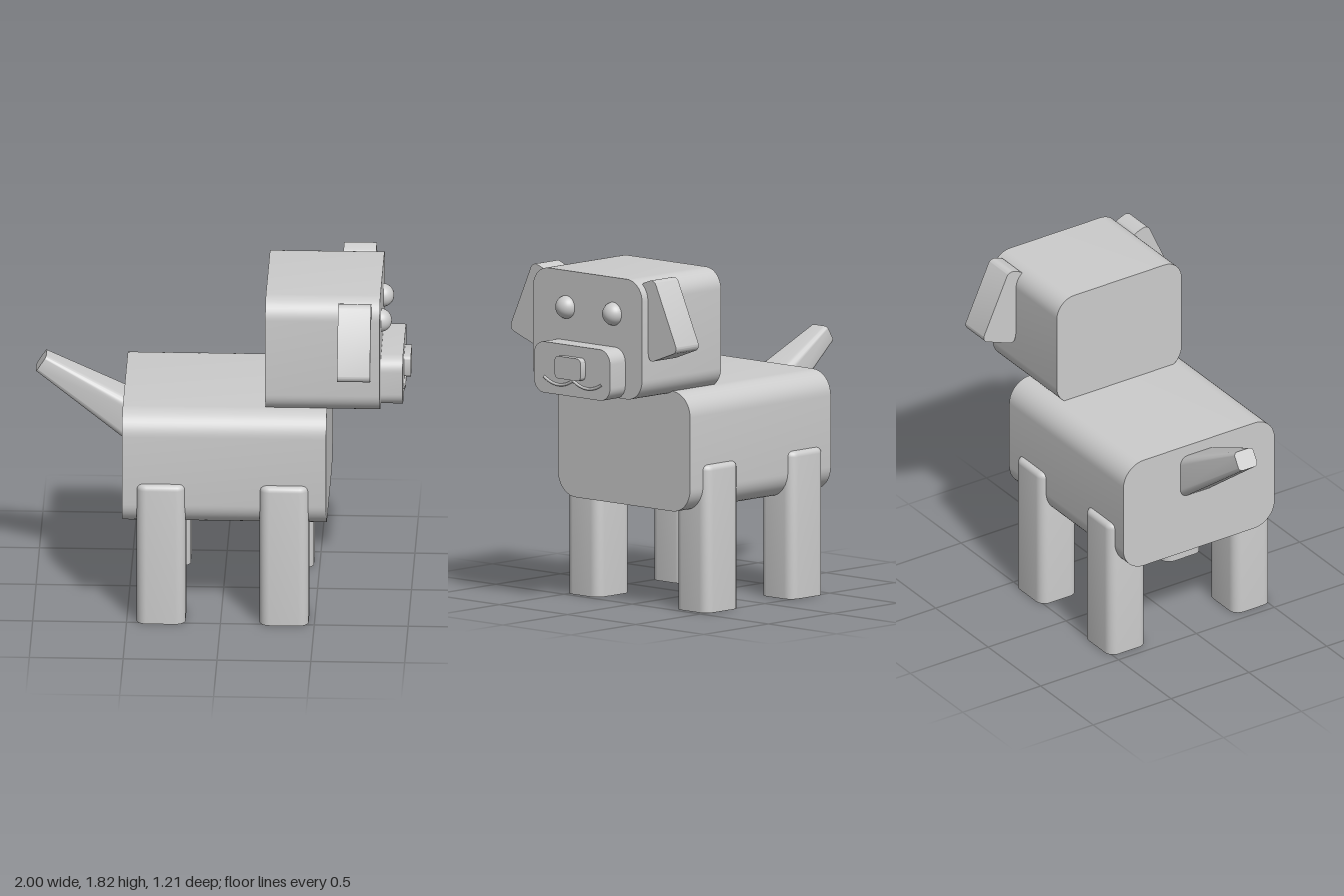
import * as THREE from 'three';
import { toCreasedNormals } from 'three/addons/utils/BufferGeometryUtils.js';

const material = new THREE.MeshStandardMaterial({ color: 0xcccccc });

// Polygon outline whose corners are rounded off over distance r
function roundedShape(points, r) {
  const pts = points.map(([x, y]) => new THREE.Vector2(x, y));
  const shape = new THREE.Shape();
  pts.forEach((p, i) => {
    const toward = (q) => q.clone().sub(p).setLength(r).add(p);
    const a = toward(pts[(i + pts.length - 1) % pts.length]);
    const b = toward(pts[(i + 1) % pts.length]);
    const c1 = a.clone().lerp(p, 0.5523);
    const c2 = b.clone().lerp(p, 0.5523);
    if (i === 0) shape.moveTo(a.x, a.y);
    else shape.lineTo(a.x, a.y);
    shape.bezierCurveTo(c1.x, c1.y, c2.x, c2.y, b.x, b.y);
  });
  shape.closePath();
  return shape;
}

const rect = (x0, x1, y0, y1) => [[x0, y0], [x1, y0], [x1, y1], [x0, y1]];

// Smooth rounded sides, sharp end caps
const crease = (geometry) => toCreasedNormals(geometry, 0.6);

// Block with a rounded (z, y) outline, running from x0 to x1
function blockAlongX(outline, r, x0, x1) {
  const shape = roundedShape(outline.map(([z, y]) => [-z, y]), r);
  const geo = new THREE.ExtrudeGeometry(shape, { depth: x1 - x0, bevelEnabled: false, curveSegments: 10 });
  geo.rotateY(Math.PI / 2).translate(x0, 0, 0);
  return crease(geo);
}

// Upright leg: rounded corners and top edge, flat foot
function legGeometry(width, height, depth) {
  const b = 0.03;
  const w = width / 2 - b, d = depth / 2 - b;
  const geo = new THREE.ExtrudeGeometry(roundedShape(rect(-w, w, -d, d), 0.025), {
    depth: height - b, bevelThickness: b, bevelSize: b, bevelSegments: 5, curveSegments: 6,
  });
  geo.rotateX(-Math.PI / 2);
  const pos = geo.attributes.position;
  for (let i = 0; i < pos.count; i++) pos.setY(i, Math.max(0, pos.getY(i)));
  return crease(geo);
}

// Tapered tail: a unit rounded square lofted from the rump to the raised tip
function tailGeometry() {
  const geo = new THREE.ExtrudeGeometry(roundedShape(rect(-1, 1, -1, 1), 0.4), {
    depth: 1, bevelEnabled: false, curveSegments: 8,
  });
  const pos = geo.attributes.position;
  const mix = THREE.MathUtils.lerp;
  for (let i = 0; i < pos.count; i++) {
    const u = pos.getX(i), v = pos.getY(i), t = pos.getZ(i);
    pos.setXYZ(i,
      mix(-0.5, -0.972 + 0.028 * v, t),
      mix(0.992 + 0.126 * v, 1.297 + 0.044 * v, t),
      u * mix(0.123, 0.06, t));
  }
  return crease(geo);
}

export function createModel() {
  const dog = new THREE.Group();
  dog.name = 'dog';
  const add = (name, geometry, x = 0, y = 0, z = 0) => {
    const mesh = new THREE.Mesh(geometry, material);
    mesh.name = name;
    mesh.position.set(x, y, z);
    dog.add(mesh);
  };

  // Body, head and face blocks
  add('body', blockAlongX(rect(-0.485, 0.485, 0.545, 1.192), 0.13, -0.525, 0.563));
  add('head', blockAlongX(rect(-0.4, 0.4, 1.173, 1.82), 0.11, 0.235, 0.845));
  add('muzzle', blockAlongX(rect(-0.277, 0.282, 1.17, 1.445), 0.075, 0.8, 0.963));
  add('nose', blockAlongX(rect(-0.095, 0.095, 1.265, 1.385), 0.025, 0.94, 1.0));

  // Legs
  const leg = legGeometry(0.262, 0.795, 0.238);
  for (const [end, x] of [['front', 0.338], ['back', -0.318]]) {
    for (const [side, z] of [['Right', 0.401], ['Left', -0.398]]) add(end + side + 'Leg', leg, x, 0, z);
  }

  add('tail', tailGeometry());

  // Floppy ears
  const earOutline = [[0.445, 1.832], [0.618, 1.455], [0.41, 1.377], [0.345, 1.795]];
  for (const [side, s] of [['right', 1], ['left', -1]]) {
    add(side + 'Ear', blockAlongX(earOutline.map(([z, y]) => [s * z, y]), 0.035, 0.625, 0.8));
  }

  // Eyes
  const eye = new THREE.SphereGeometry(0.063, 32, 20);
  add('rightEye', eye, 0.838, 1.623, 0.157);
  add('leftEye', eye, 0.838, 1.623, -0.187);

  // Mouth made of two drooping curves
  for (const [side, z] of [['right', 0.203], ['left', -0.22]]) {
    const curve = new THREE.QuadraticBezierCurve3(
      new THREE.Vector3(0.966, 1.258, -0.008),
      new THREE.Vector3(0.966, 1.19, (z - 0.008) / 2),
      new THREE.Vector3(0.966, 1.258, z));
    add(side + 'Mouth', new THREE.TubeGeometry(curve, 24, 0.008, 8));
  }

  return dog;
}
